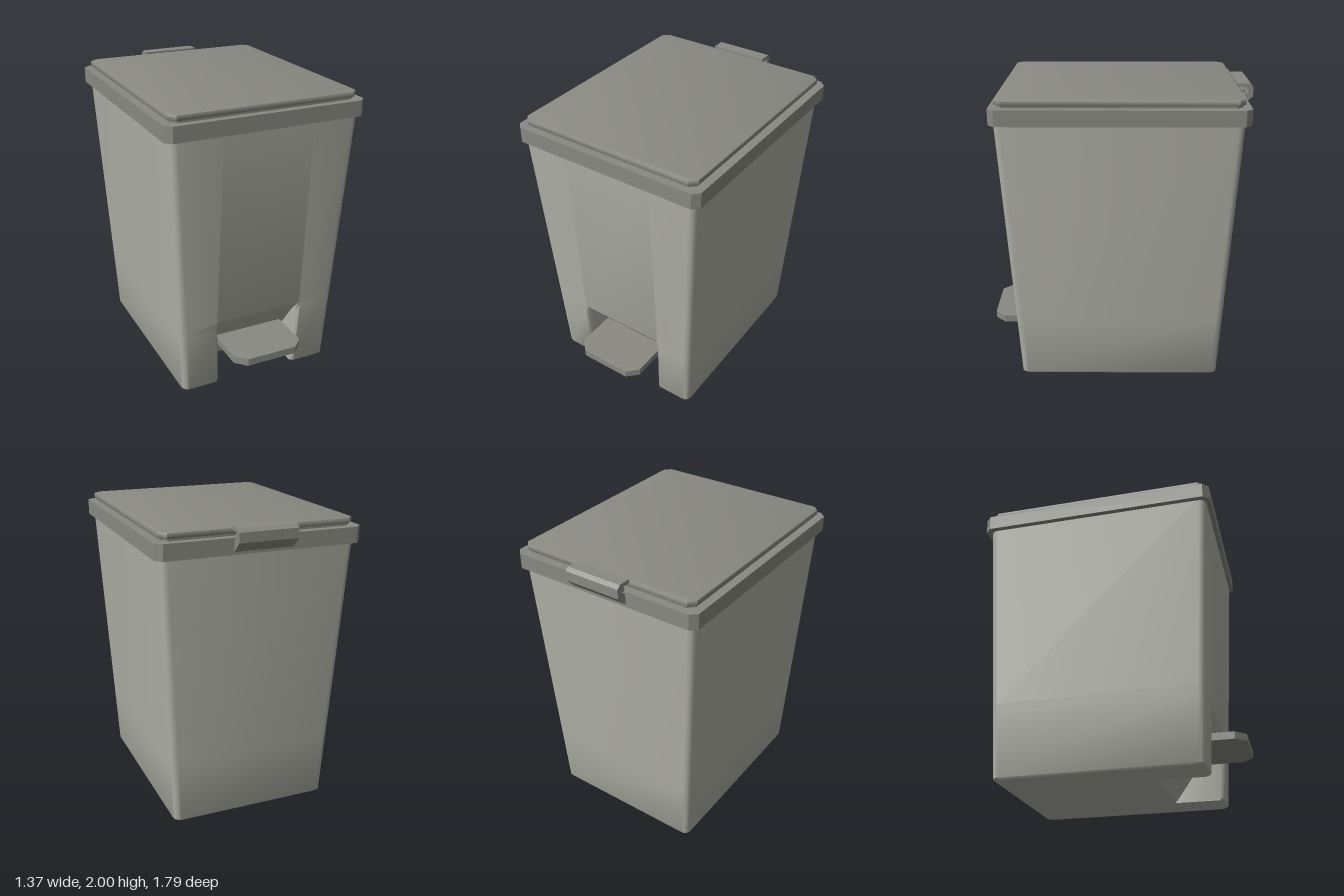
import * as THREE from 'three';
import { toCreasedNormals } from 'three/addons/utils/BufferGeometryUtils.js';

const lightGrey = new THREE.MeshStandardMaterial({ color: 0xb0b1a7 });
lightGrey.name = 'lightGrey';
const darkGrey = new THREE.MeshStandardMaterial({ color: 0x8a8a83 });
darkGrey.name = 'darkGrey';

function mesh(name, geometry, material) {
  const m = new THREE.Mesh(geometry, material);
  m.name = name;
  return m;
}

// Flat slab with cut corners, lying between heights y0 and y1
function slab(halfX, zBack, zFront, cut, y0, y1, bevel = 0) {
  const x = halfX - bevel, b = -zBack - bevel, f = -zFront + bevel;
  const shape = new THREE.Shape([
    [-x + cut, f], [x - cut, f], [x, f + cut], [x, b - cut],
    [x - cut, b], [-x + cut, b], [-x, b - cut], [-x, f + cut],
  ].map(([px, py]) => new THREE.Vector2(px, py)));
  const g = new THREE.ExtrudeGeometry(shape, {
    depth: y1 - y0 - 2 * bevel, bevelEnabled: bevel > 0,
    bevelSize: bevel, bevelThickness: bevel, bevelSegments: 2,
  });
  return g.rotateX(-Math.PI / 2).translate(0, y0 + bevel, 0);
}

// One horizontal outline of the body: rounded rectangle with a pedal recess in front
function bodyRing(y, inset, depth) {
  const t = y / 1.86;
  const hx = 0.552 + 0.096 * t - inset;
  const zf = 0.672 + 0.1 * t - inset;
  const zb = -0.698 - 0.095 * t + inset;
  const r = 0.045, pts = [];
  const corner = (cx, cz, start) => {
    for (let i = 0; i <= 4; i++) {
      const a = start + (i / 4) * Math.PI / 2;
      pts.push([cx + r * Math.cos(a), y, cz - r * Math.sin(a)]);
    }
  };
  corner(-hx + r, zf - r, Math.PI);
  const e = Math.min(0.02, depth * 0.5);
  const w = 0.29 + 0.015 * Math.min(1, y / 0.5);
  pts.push([-w - 0.018, y, zf], [-w, y, zf - e], [-w, y, zf - depth]);
  pts.push([w, y, zf - depth], [w, y, zf - e], [w + 0.018, y, zf]);
  corner(hx - r, zf - r, Math.PI * 1.5);
  corner(hx - r, zb + r, 0);
  corner(-hx + r, zb + r, Math.PI / 2);
  return pts;
}

// Tapered body lofted through the outlines, with a closed floor
function bodyGeometry() {
  const rings = [
    [0, 0.014, 0.33], [0.014, 0, 0.33], [0.44, 0, 0.055],
    [0.475, 0, 0.02], [0.51, 0, 0], [1.86, 0, 0],
  ].map((r) => bodyRing(...r));
  const n = rings[0].length, index = [];
  for (let k = 0; k < rings.length - 1; k++) {
    for (let j = 0; j < n; j++) {
      const a = k * n + j, b = k * n + (j + 1) % n;
      index.push(a, b, b + n, a, b + n, a + n);
    }
  }
  const outline = rings[0].map((p) => new THREE.Vector2(p[0], -p[2]));
  for (const [a, b, c] of THREE.ShapeUtils.triangulateShape(outline, [])) index.push(a, c, b);
  const g = new THREE.BufferGeometry();
  g.setAttribute('position', new THREE.Float32BufferAttribute(rings.flat(2), 3));
  g.setIndex(index);
  return toCreasedNormals(g, 0.8);
}

// Hooked hinge cover, a side profile in (z, y) drawn out along x
function hingeGeometry() {
  const profile = [
    [-0.785, 2.0], [-0.872, 2.0], [-0.894, 1.978], [-0.894, 1.915], [-0.828, 1.85],
    [-0.828, 1.92], [-0.862, 1.945], [-0.862, 1.965], [-0.845, 1.975], [-0.785, 1.975],
  ].map(([z, y]) => new THREE.Vector2(z, y));
  const g = new THREE.ExtrudeGeometry(new THREE.Shape(profile), { depth: 0.392, bevelEnabled: false });
  return g.rotateY(-Math.PI / 2).translate(0.196, 0, 0);
}

export function createModel() {
  const model = new THREE.Group();
  model.name = 'pedalBin';

  model.add(mesh('body', bodyGeometry(), lightGrey));

  // Rim band, lid seat and lid
  model.add(mesh('rim', slab(0.683, -0.828, 0.798, 0.042, 1.832, 1.936), darkGrey));
  model.add(mesh('lidSeat', slab(0.628, -0.775, 0.75, 0.04, 1.93, 1.958), darkGrey));
  model.add(mesh('lid', toCreasedNormals(slab(0.645, -0.79, 0.765, 0.035, 1.95, 1.99, 0.012), 0.6), darkGrey));

  // Hinge at the back
  const hinge = new THREE.Group();
  hinge.name = 'hinge';
  hinge.add(mesh('hingeCover', hingeGeometry(), darkGrey));
  const pin = mesh('hingePin', new THREE.CylinderGeometry(0.016, 0.016, 0.37, 12).rotateZ(Math.PI / 2), darkGrey);
  pin.position.set(0, 1.947, -0.835);
  hinge.add(pin);
  model.add(hinge);

  // Foot pedal with cut front corners
  model.add(mesh('pedal', slab(0.252, 0.42, 0.897, 0.072, 0.247, 0.297), darkGrey));

  return model;
}
